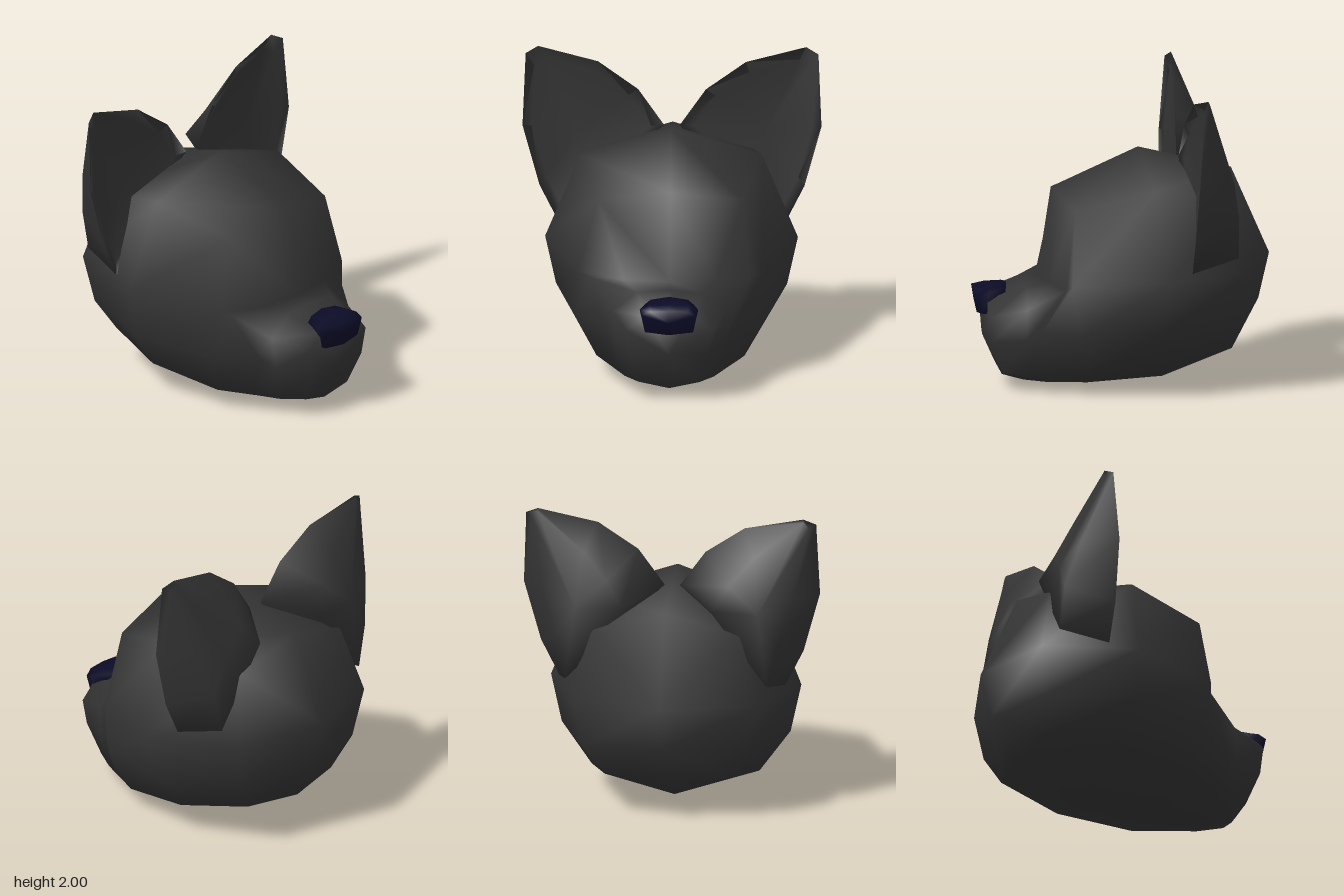
import * as THREE from 'three';
import { mergeVertices } from 'three/addons/utils/BufferGeometryUtils.js';

const fur = new THREE.MeshStandardMaterial({ color: 0x333333 });
fur.name = 'charcoalFur';
const noseSkin = new THREE.MeshStandardMaterial({ color: 0x0c0c28 });
noseSkin.name = 'navyNose';

// Smooth skin through closed rings, ordered front to back, each clockwise seen from the front
function loft(rings) {
  const pos = [];
  const tri = (a, b, c) => {
    const [A, B, C] = [a, b, c].map((p) => new THREE.Vector3(...p));
    if (B.sub(A).cross(C.sub(A)).length() > 1e-7) pos.push(...a, ...b, ...c);
  };
  for (let r = 0; r < rings.length - 1; r++) {
    const n = rings[r].length;
    for (let i = 0; i < n; i++) {
      const j = (i + 1) % n;
      const a = rings[r][i], b = rings[r][j], c = rings[r + 1][j], d = rings[r + 1][i];
      tri(a, b, d);
      tri(b, c, d);
    }
  }
  let g = new THREE.BufferGeometry();
  g.setAttribute('position', new THREE.Float32BufferAttribute(pos, 3));
  g = mergeVertices(g, 1e-4);
  g.computeVertexNormals();
  return g;
}

// Completes a half ring (top centre down to bottom centre) with its mirror image
const mirrorRing = (half) => [
  ...half,
  ...half.slice(1, -1).reverse().map(([x, y, z]) => [-x, y, z]),
];
const point = (p, n) => Array.from({ length: n }, () => p);

function part(name, geometry, material) {
  const mesh = new THREE.Mesh(geometry, material);
  mesh.name = name;
  return mesh;
}

// Half rings: top centre, top corner, side, lower side, bottom corner, bottom centre
function headGeometry() {
  const halves = [
    point([0, 0.34, 0.91], 6),
    // muzzle tip, middle and root
    [[0, 0.61, 0.92], [0.15, 0.6, 0.9], [0.28, 0.5, 0.89], [0.25, 0.33, 0.88], [0.2, 0.12, 0.8], [0, 0.07, 0.78]],
    [[0, 0.7, 0.66], [0.21, 0.68, 0.65], [0.37, 0.56, 0.66], [0.35, 0.35, 0.67], [0.29, 0.11, 0.65], [0, 0.03, 0.64]],
    [[0, 0.72, 0.55], [0.3, 0.72, 0.51], [0.52, 0.71, 0.43], [0.41, 0.42, 0.57], [0.36, 0.12, 0.52], [0, 0.01, 0.49]],
    // brow, crown and back of the skull
    [[0, 1.3, 0.46], [0.47, 1.22, 0.37], [0.6, 0.74, 0.4], [0.62, 0.42, 0.35], [0.48, 0.13, 0.28], [0, 0, 0.22]],
    [[0, 1.55, -0.11], [0.59, 1.36, -0.15], [0.82, 0.79, -0.19], [0.75, 0.47, -0.19], [0.55, 0.2, -0.22], [0, 0.03, -0.27]],
    [[0, 1.4, -0.72], [0.48, 1.27, -0.67], [0.6, 0.81, -0.78], [0.53, 0.49, -0.74], [0.4, 0.28, -0.67], [0, 0.25, -0.74]],
    [...point([0, 0.83, -0.97], 3), ...point([0, 0.53, -0.9], 3)],
  ];
  return loft(halves.map(mirrorRing));
}

function noseGeometry() {
  const halves = [
    point([0, 0.57, 0.965], 5),
    [[0, 0.655, 0.97], [0.12, 0.65, 0.965], [0.175, 0.62, 0.95], [0.155, 0.5, 0.93], [0, 0.485, 0.945]],
    [[0, 0.67, 0.88], [0.13, 0.665, 0.88], [0.19, 0.64, 0.89], [0.16, 0.5, 0.89], [0, 0.48, 0.9]],
    [[0, 0.685, 0.755], [0.12, 0.67, 0.77], [0.16, 0.64, 0.78], [0.14, 0.52, 0.82], [0, 0.5, 0.82]],
    point([0, 0.58, 0.78], 5),
  ];
  return loft(halves.map(mirrorRing));
}

// Wedge ear: shallow bowl in front, rim, then a back that thickens to the base
function earGeometry(side) {
  const rim = [
    [0.05, 1.49, -0.37], [0.22, 1.73, -0.385], [0.48, 1.91, -0.41], [0.87, 2.0, -0.45],
    [0.95, 1.96, -0.42], [0.97, 1.48, -0.385], [0.86, 1.08, -0.37], [0.74, 0.84, -0.365],
  ];
  const back = [
    [0.29, 1.42, -0.68], [0.4, 1.57, -0.61], [0.56, 1.75, -0.54], [0.87, 1.98, -0.46],
    [0.91, 1.94, -0.455], [0.82, 1.5, -0.59], [0.73, 1.2, -0.67], [0.66, 0.92, -0.68],
  ];
  const inner = rim.map(([x, y, z]) => [x + (0.6 - x) * 0.16, y + (1.42 - y) * 0.16, z - 0.025]);
  const rings = [point([0.6, 1.42, -0.44], 8), inner, rim, back, point([0.6, 1.4, -0.66], 8)];
  if (side > 0) return loft(rings);
  return loft(rings.map((r) => r.map(([x, y, z]) => [-x, y, z]).reverse()));
}

export function createModel() {
  const model = new THREE.Group();
  model.name = 'animalHead';
  model.add(
    part('head', headGeometry(), fur),
    part('nose', noseGeometry(), noseSkin),
    part('leftEar', earGeometry(1), fur),
    part('rightEar', earGeometry(-1), fur),
  );
  return model;
}
